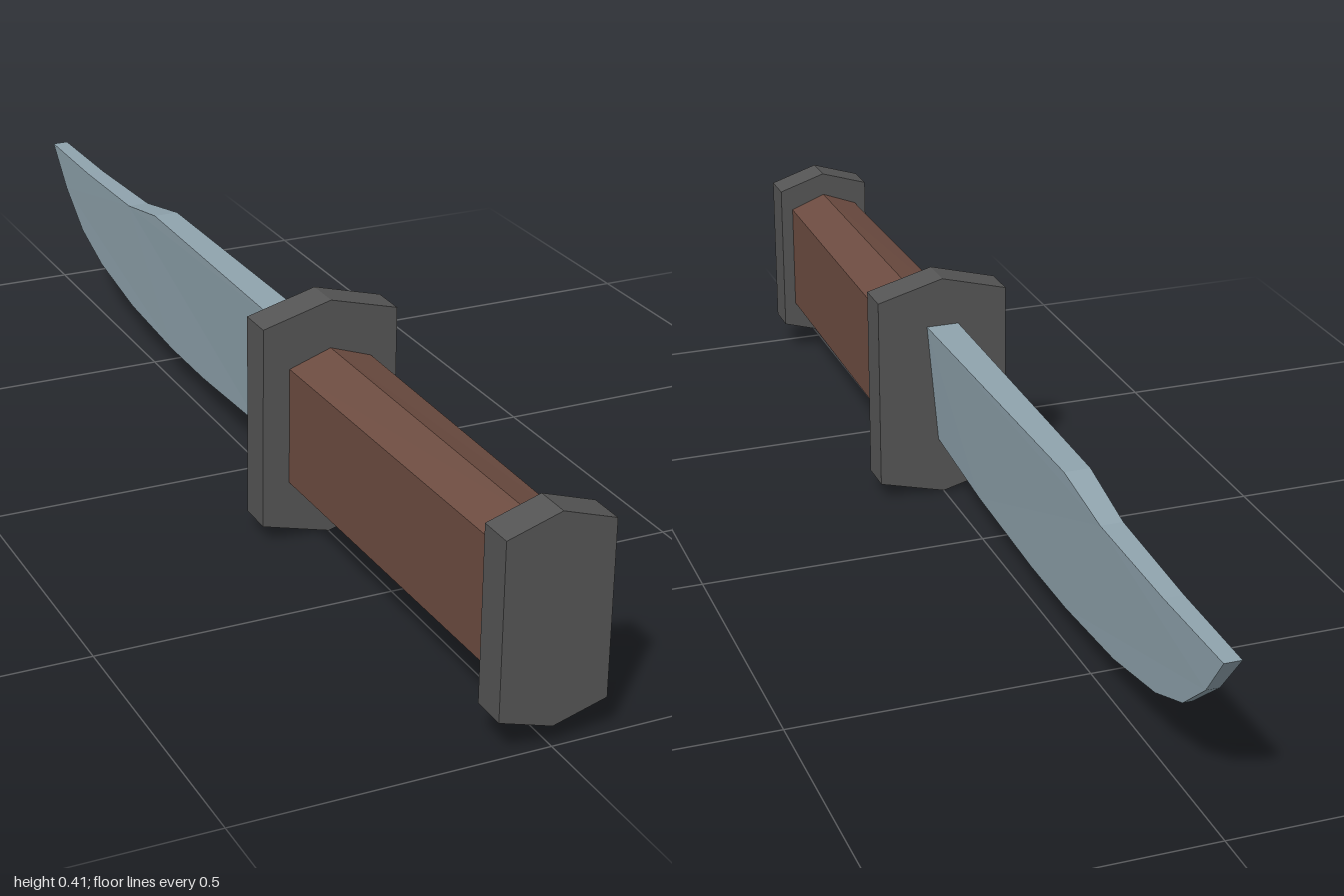
import * as THREE from 'three';

const steel = new THREE.MeshStandardMaterial({ color: 0x90a4ae });
steel.name = 'blade steel';
const iron = new THREE.MeshStandardMaterial({ color: 0x555555 });
iron.name = 'dark iron';
const wood = new THREE.MeshStandardMaterial({ color: 0x6d4c41 });
wood.name = 'brown wood';

// Upright six-sided bar along z: points at top and bottom, flat sides
function hexBar(name, material, half, bottom, sideBottom, sideTop, top, z0, z1, endScale = 1) {
  const shape = new THREE.Shape([
    [0, bottom], [half, sideBottom], [half, sideTop],
    [0, top], [-half, sideTop], [-half, sideBottom],
  ].map(([x, y]) => new THREE.Vector2(x, y)));
  const geometry = new THREE.ExtrudeGeometry(shape, { depth: z1 - z0, bevelEnabled: false });
  geometry.translate(0, 0, z0);
  // narrow the far end
  const p = geometry.attributes.position;
  for (let i = 0; i < p.count; i++) {
    const t = (p.getZ(i) - z0) / (z1 - z0);
    p.setX(i, p.getX(i) * THREE.MathUtils.lerp(1, endScale, t));
  }
  geometry.computeVertexNormals();
  const mesh = new THREE.Mesh(geometry, material);
  mesh.name = name;
  return mesh;
}

// Clipped-point blade, thick at the spine and thin at the cutting edge
function makeBlade() {
  const profile = [ // z, y
    [0.21, 0.107], [0, 0.083], [-0.25, 0.07], [-0.4, 0.07], [-0.6, 0.083],
    [-0.76, 0.112], [-0.86, 0.15], [-0.94, 0.215], [-1, 0.29],
    [-0.8, 0.29], [-0.57, 0.298], [-0.43, 0.325], [0.21, 0.325],
  ];
  const shape = new THREE.Shape(profile.map(([z, y]) => new THREE.Vector2(z, y)));
  const geometry = new THREE.ExtrudeGeometry(shape, { depth: 2, bevelEnabled: false });
  geometry.translate(0, 0, -1);
  geometry.rotateY(-Math.PI / 2);
  const p = geometry.attributes.position;
  for (let i = 0; i < p.count; i++) {
    const alongTip = (0.21 - p.getZ(i)) / 1.21;
    const towardSpine = (p.getY(i) - 0.07) / 0.255;
    const half = THREE.MathUtils.lerp(0.029, 0.016, alongTip) * (0.2 + 0.8 * towardSpine);
    p.setX(i, Math.sign(p.getX(i)) * half);
  }
  geometry.computeVertexNormals();
  const mesh = new THREE.Mesh(geometry, steel);
  mesh.name = 'blade';
  return mesh;
}

export function createModel() {
  const knife = new THREE.Group();
  knife.name = 'knife';
  knife.add(
    makeBlade(),
    hexBar('guard', iron, 0.118, 0.003, 0.034, 0.38, 0.412, 0.207, 0.27),
    hexBar('handle', wood, 0.072, 0.08, 0.105, 0.305, 0.33, 0.27, 0.94, 0.9),
    hexBar('pommel', iron, 0.087, 0.036, 0.062, 0.345, 0.373, 0.94, 1),
  );
  return knife;
}
